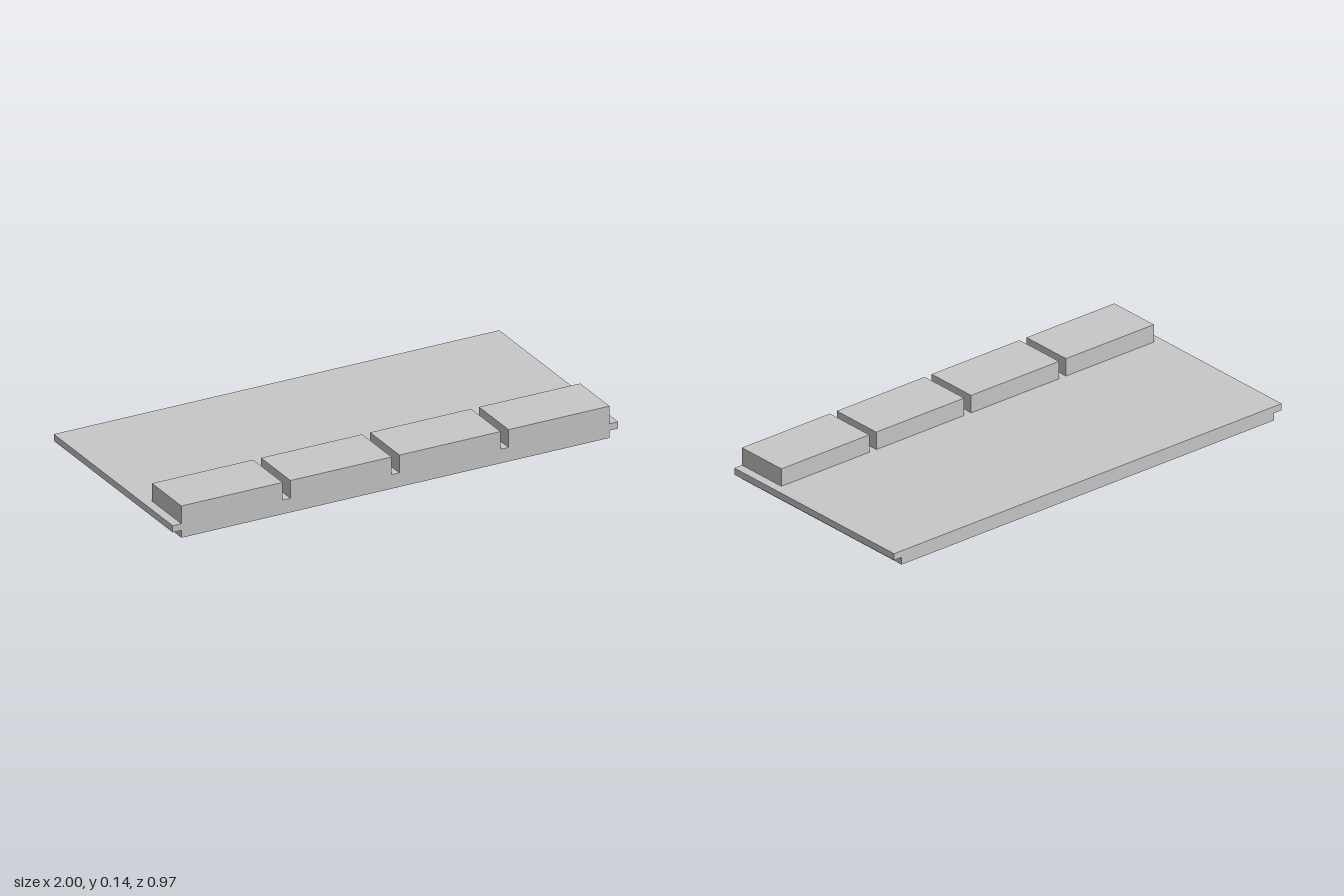
import * as THREE from 'three';

export function createModel() {
  const model = new THREE.Group();
  const grey = new THREE.MeshStandardMaterial({ color: 0xc8c8c8 });
  grey.name = 'light grey';

  const halfDepth = 0.485, bodyHalf = 0.961, lipY = 0.032, deckY = 0.061;

  // Slab with a thin lip overhanging both ends
  const profile = new THREE.Shape([
    [-bodyHalf, 0], [bodyHalf, 0], [bodyHalf, lipY], [1, lipY],
    [1, deckY], [-1, deckY], [-1, lipY], [-bodyHalf, lipY],
  ].map(([x, y]) => new THREE.Vector2(x, y)));
  const slabGeometry = new THREE.ExtrudeGeometry(profile, { depth: halfDepth * 2, bevelEnabled: false });
  slabGeometry.translate(0, 0, -halfDepth);
  const slab = new THREE.Mesh(slabGeometry, grey);
  slab.name = 'slab';
  model.add(slab);

  // Four raised blocks in a row, flush with the front edge
  const count = 4, gap = 0.036, blockDepth = 0.24, blockHeight = 0.077;
  const width = (bodyHalf * 2 - gap * (count - 1)) / count;
  const blockGeometry = new THREE.BoxGeometry(width, blockHeight, blockDepth);
  for (let i = 0; i < count; i++) {
    const block = new THREE.Mesh(blockGeometry, grey);
    block.name = `raisedBlock${i + 1}`;
    block.position.set(
      -bodyHalf + width / 2 + i * (width + gap),
      deckY + blockHeight / 2,
      halfDepth - blockDepth / 2,
    );
    model.add(block);
  }
  return model;
}
